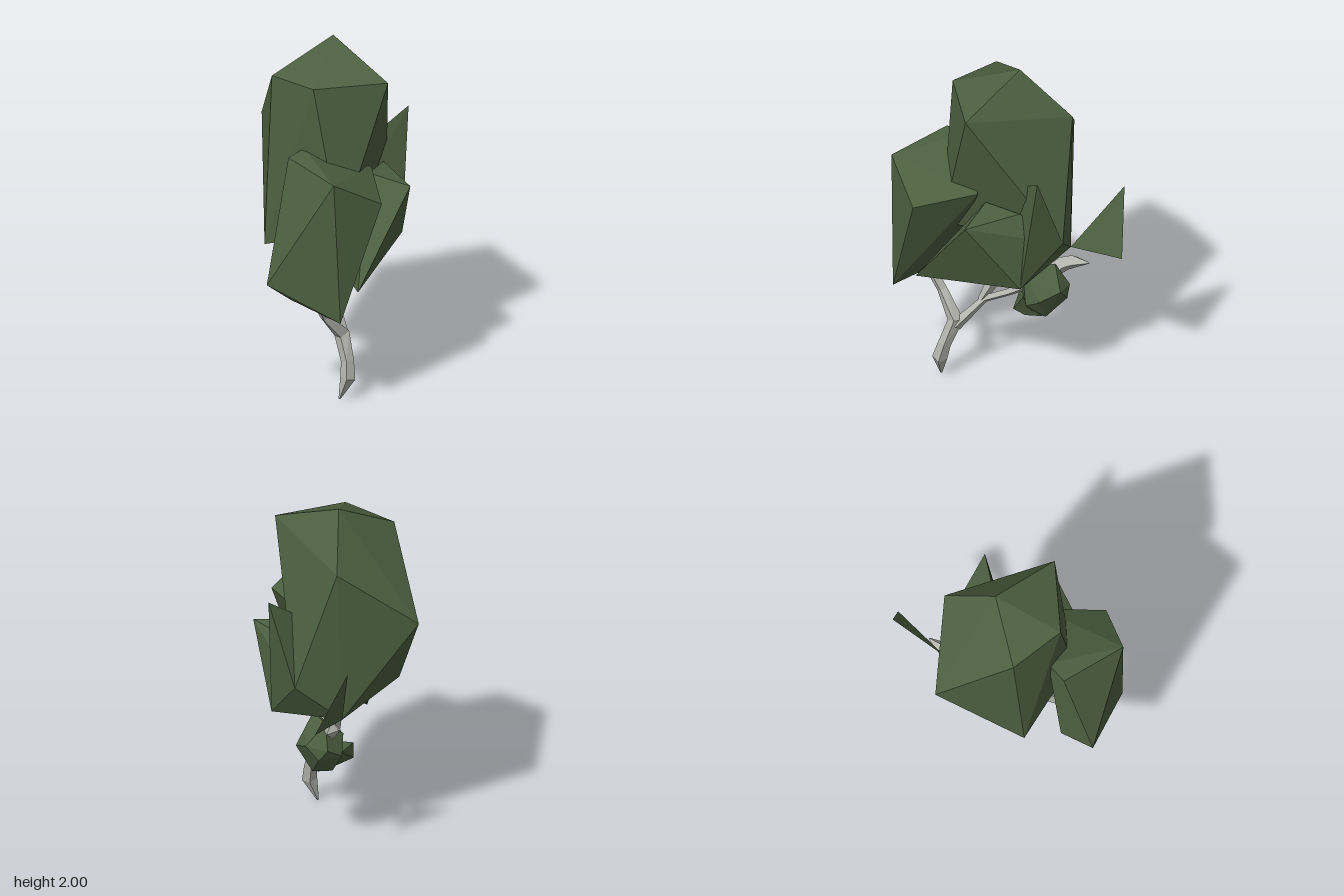
import * as THREE from 'three';
import { ConvexGeometry } from 'three/addons/geometries/ConvexGeometry.js';

const leaf = new THREE.MeshStandardMaterial({ color: 0x4c6040, flatShading: true, side: THREE.DoubleSide });
leaf.name = 'leafGreen';
const bark = new THREE.MeshStandardMaterial({ color: 0xb2b3ac, flatShading: true, side: THREE.DoubleSide });
bark.name = 'paleBark';

// Faceted foliage clump: the hull of a few corner points
function clump(name, points) {
  const geometry = new ConvexGeometry(points.map((p) => new THREE.Vector3(...p)));
  const mesh = new THREE.Mesh(geometry, leaf);
  mesh.name = name;
  return mesh;
}

// Angular branch: four-sided rings along a path of [x, y, z, radius]
function branch(name, path, sides = 4) {
  const centres = path.map((p) => new THREE.Vector3(p[0], p[1], p[2]));
  const positions = [];
  const index = [];
  path.forEach((p, i) => {
    const tangent = centres[Math.min(i + 1, path.length - 1)].clone()
      .sub(centres[Math.max(i - 1, 0)]).normalize();
    const u = new THREE.Vector3(1, 0, 0).addScaledVector(tangent, -tangent.x).normalize();
    const v = tangent.clone().cross(u);
    for (let k = 0; k < sides; k++) {
      const a = (k / sides) * Math.PI * 2;
      const q = centres[i].clone()
        .addScaledVector(u, Math.cos(a) * p[3])
        .addScaledVector(v, Math.sin(a) * p[3]);
      positions.push(q.x, Math.max(q.y, 0), q.z);
      if (i > 0) {
        const n = (k + 1) % sides;
        const a0 = (i - 1) * sides + k, a1 = (i - 1) * sides + n;
        const b0 = i * sides + k, b1 = i * sides + n;
        index.push(a0, a1, b1, a0, b1, b0);
      }
    }
  });
  const geometry = new THREE.BufferGeometry();
  geometry.setAttribute('position', new THREE.Float32BufferAttribute(positions, 3));
  geometry.setIndex(index);
  const flat = geometry.toNonIndexed();
  flat.computeVertexNormals();
  const mesh = new THREE.Mesh(flat, bark);
  mesh.name = name;
  return mesh;
}

export function createModel() {
  const tree = new THREE.Group();
  tree.name = 'tree';

  // Corners shared by neighbouring clumps
  const backLow = [-0.03, 0.85, -0.33];
  const backSide = [0.23, 1.05, -0.335];
  const sideLow = [0.35, 0.8, -0.12];

  // Foliage
  tree.add(clump('mainCrown', [
    [-0.02, 2, -0.05], [-0.07, 1.845, 0.335], [0.32, 1.845, 0.19], [-0.33, 1.82, 0.14],
    [0, 1.74, -0.345], [-0.45, 1.4, -0.27], [-0.36, 0.83, 0.21], [0.08, 1, 0.365],
    backLow, backSide,
  ]));
  tree.add(clump('frontFoliage', [
    [0.09, 1.42, 0.645], [0.33, 1.25, 0.48], [0.22, 1.31, 0.14], [-0.2, 1.45, 0.39],
    [-0.13, 1.46, 0.28], [-0.29, 0.76, 0.58], [-0.19, 0.58, 0.37], [0.125, 0.58, 0.63],
  ]));
  tree.add(clump('leftFoliage', [
    [0.44, 1.22, 0.17], [0.2, 0.71, 0.49], [0.25, 1.23, -0.1], [0.2, 1.25, 0.1],
    [0.08, 0.68, 0.2], sideLow, backLow, backSide,
  ]));
  tree.add(clump('leftSpike', [
    [0.37, 1.52, -0.22], [0.22, 1.4, -0.13], [0.1, 1, 0], sideLow, backSide,
  ]));

  // Small rounded clump under the crown
  tree.add(clump('lowerFoliage', [
    [0.12, 0.78, -0.09], [0.06, 0.79, -0.26], [0.17, 0.71, -0.16], [0.22, 0.63, -0.2],
    [0.17, 0.68, -0.31], [0.05, 0.66, -0.34], [0.1, 0.6, -0.335], [0.19, 0.58, -0.12],
    [0.08, 0.6, -0.08], [-0.04, 0.7, -0.2], [-0.03, 0.6, -0.28], [0.13, 0.48, -0.22],
    [0.02, 0.47, -0.2], [0.07, 0.46, -0.14],
  ]));
  tree.add(clump('lowerFoliageTip', [
    [-0.1, 0.57, -0.06], [-0.1, 0.46, -0.03], [0.03, 0.44, -0.02], [0.05, 0.42, -0.09],
    [0.1, 0.46, -0.19], [0.12, 0.58, -0.09], [0.02, 0.6, -0.09], [-0.03, 0.58, -0.2],
  ]));

  // Single flat leaf at the back
  const leafGeometry = new THREE.BufferGeometry().setFromPoints([
    new THREE.Vector3(...backLow), new THREE.Vector3(-0.05, 1.28, -0.625), new THREE.Vector3(0.13, 0.92, -0.645),
  ]);
  leafGeometry.computeVertexNormals();
  const backLeaf = new THREE.Mesh(leafGeometry, leaf);
  backLeaf.name = 'backLeaf';
  tree.add(backLeaf);

  // Trunk and branches
  tree.add(branch('trunk', [
    [0.08, 0, 0.37, 0.006], [0.125, 0.13, 0.37, 0.042], [0.12, 0.22, 0.345, 0.036], [0.08, 0.36, 0.29, 0.045],
    [0, 0.5, 0.38, 0.03], [-0.02, 0.59, 0.435, 0.03], [-0.03, 0.67, 0.44, 0.005],
  ]));
  tree.add(branch('backBranch', [
    [0.09, 0.33, 0.29, 0.035], [0.05, 0.42, 0.2, 0.025], [0.02, 0.48, 0.14, 0.022], [0.03, 0.55, 0, 0.022],
    [0.05, 0.65, -0.15, 0.03], [0.02, 0.77, -0.3, 0.045], [0.03, 0.8, -0.36, 0.04], [0.06, 0.82, -0.45, 0.004],
  ]));
  tree.add(branch('middleBranch', [
    [0.02, 0.47, 0.16, 0.02], [0, 0.58, 0.1, 0.035], [-0.02, 0.78, 0.04, 0.03],
  ]));
  return tree;
}
